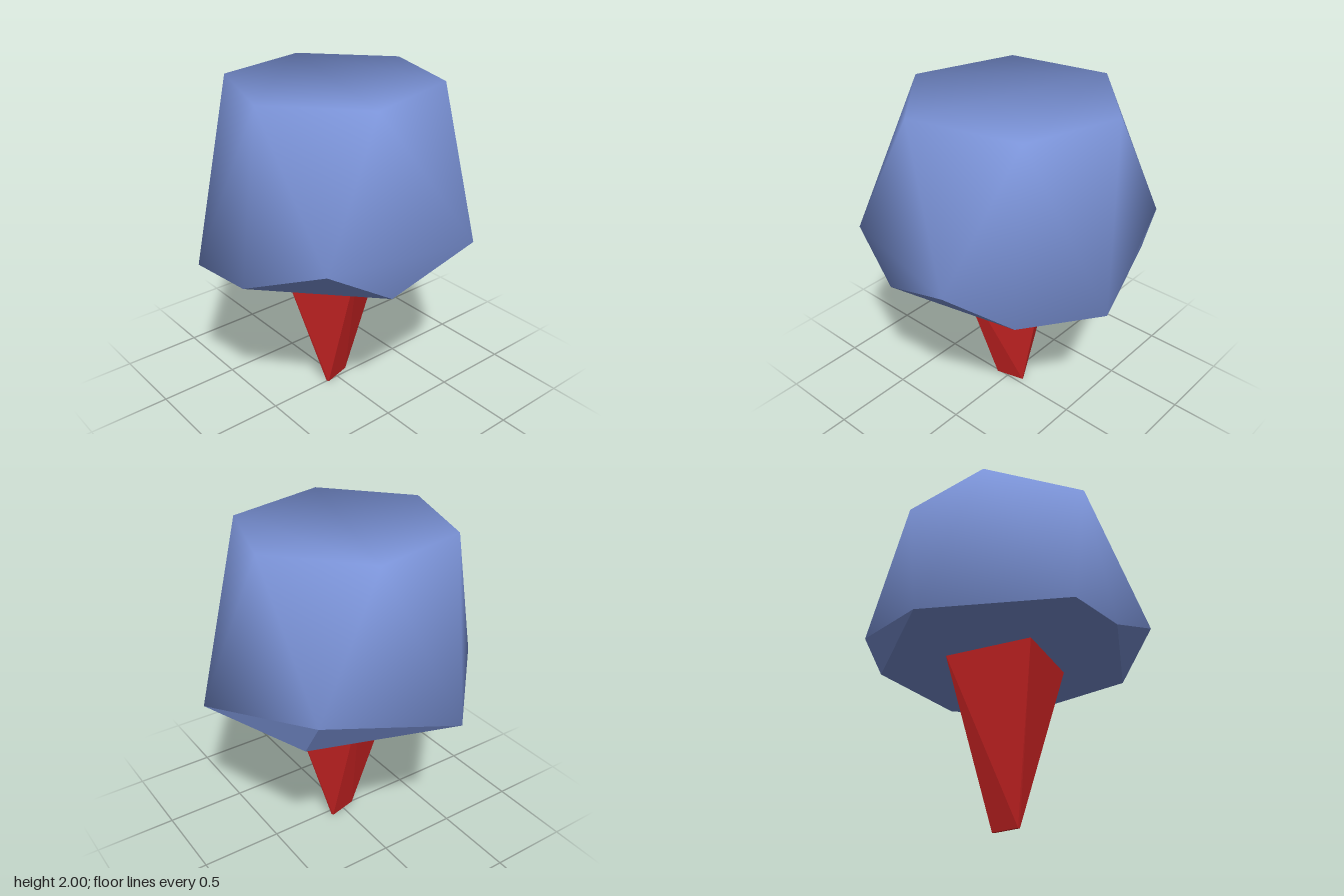
import * as THREE from 'three';
import { ConvexGeometry } from 'three/addons/geometries/ConvexGeometry.js';

const blue = new THREE.MeshStandardMaterial({ color: 0x7a92d6 });
const red = new THREE.MeshStandardMaterial({ color: 0xd62626 });

// Faceted crown: hexagonal top, three raised corners, irregular flat base
function makeCrown() {
  const rings = [
    [2.0, [[-0.17, -0.63], [-0.64, -0.2], [-0.51, 0.41], [0.1, 0.62], [0.57, 0.2], [0.4, -0.45]]],
    [1.23, [[0.83, -0.28], [0.64, 0.59], [-0.68, -0.6]]],
    [1.04, [[-0.21, 0.84]]],
    [1.02, [[0.15, -0.845], [-0.55, -0.6], [-0.83, 0.24], [0.15, 0.78], [0.74, 0.23], [0.57, -0.55]]],
  ];
  const points = rings.flatMap(([y, ring]) => ring.map(([x, z]) => new THREE.Vector3(x, y, z)));
  const geometry = new ConvexGeometry(points);

  // Round the shading of the sides and top; the underside stays flat
  const pos = geometry.attributes.position, nor = geometry.attributes.normal;
  const centre = new THREE.Vector3(0, 1.25, 0), v = new THREE.Vector3();
  for (let i = 0; i < pos.count; i++) {
    if (nor.getY(i) < -0.2) continue;
    v.fromBufferAttribute(pos, i).sub(centre).normalize();
    nor.setXYZ(i, v.x, v.y, v.z);
  }
  const mesh = new THREE.Mesh(geometry, blue);
  mesh.name = 'crown';
  return mesh;
}

// Four-sided trunk tapering to a short wedge at the ground
function makeTrunk() {
  const top = [[-0.13, 0.37], [0.34, 0.12], [0.085, -0.365], [-0.38, -0.13]];
  const foot = [[-0.005, 0.085], [0.012, 0.08], [-0.035, -0.1], [-0.05, -0.095]];
  const points = [
    ...top.map(([x, z]) => new THREE.Vector3(x, 1.03, z)),
    ...foot.map(([x, z]) => new THREE.Vector3(x, 0, z)),
  ];
  const mesh = new THREE.Mesh(new ConvexGeometry(points), red);
  mesh.name = 'trunk';
  return mesh;
}

export function createModel() {
  const group = new THREE.Group();
  group.name = 'tree';
  group.add(makeCrown(), makeTrunk());
  return group;
}
